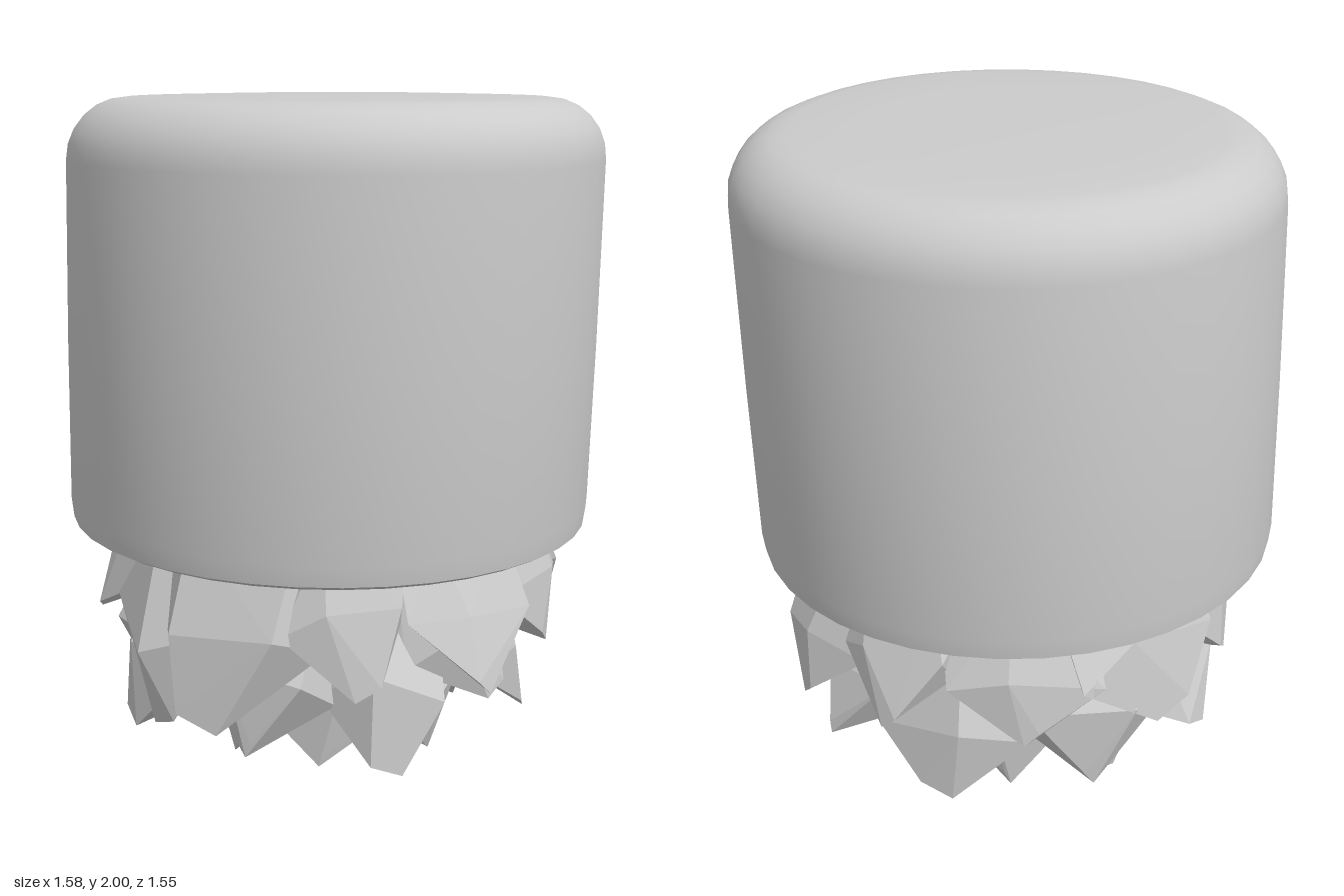
import * as THREE from 'three';
import { ConvexGeometry } from 'three/addons/geometries/ConvexGeometry.js';
import { toCreasedNormals } from 'three/addons/utils/BufferGeometryUtils.js';

// Small seeded generator for repeatable irregularity
function seeded(seed) {
  let s = seed;
  return () => {
    s = (s * 16807) % 2147483647;
    return s / 2147483647;
  };
}

// Drum with a rounded shoulder, leaning very slightly to one side
function drumGeometry() {
  const profile = [[0, 0.758], [0.745, 0.758], [0.77, 0.772], [0.777, 0.83], [0.777, 1.3], [0.772, 1.82]];
  for (let i = 1; i <= 6; i++) {
    const a = (i / 6) * Math.PI / 2;
    profile.push([0.602 + 0.17 * Math.cos(a), 1.82 + 0.172 * Math.sin(a)]);
  }
  profile.push([0.4, 1.997], [0, 2]);
  const geo = new THREE.LatheGeometry(profile.map(([r, y]) => new THREE.Vector2(r, y)), 40);
  const p = geo.attributes.position;
  for (let i = 0; i < p.count; i++) {
    const x = p.getX(i), y = p.getY(i);
    p.setX(i, x + 0.003 + 0.027 * (y - 1.38));
    p.setY(i, y - 0.014 * x * (2 - y) / 1.2);
  }
  return toCreasedNormals(geo, 0.6);
}

// Broad faceted shard: thick root, irregular waist, tip drawn out into a short chisel edge
function shardGeometry(root, tip, width, rand) {
  const axis = tip.clone().sub(root).normalize();
  const side = new THREE.Vector3(-axis.z, 0, axis.x).normalize();
  const up = new THREE.Vector3().crossVectors(axis, side);
  const chisel = tip.clone().addScaledVector(side, (rand() - 0.5) * width);
  chisel.y += 0.04;
  const points = [tip, chisel];
  const twist = rand() * Math.PI;
  const flatten = 0.5 + rand() * 0.25;
  for (const [t, scale] of [[0, 0.95], [0.55, 1]]) {
    for (let i = 0; i < 5; i++) {
      const a = twist + (i / 5) * Math.PI * 2 + (rand() - 0.5) * 0.6;
      const r = width * scale * (0.85 + rand() * 0.3);
      const v = root.clone().lerp(tip, t + (rand() - 0.5) * 0.2);
      v.addScaledVector(side, Math.cos(a) * r).addScaledVector(up, Math.sin(a) * r * flatten);
      v.y = Math.min(Math.max(v.y, tip.y + 0.05), 0.85);
      // Keep the shard tucked under the rim
      const limit = 0.74 - 0.42 * Math.max(0, v.y - 0.5);
      const pull = Math.min(1, limit / Math.hypot(v.x, v.z));
      points.push(new THREE.Vector3(v.x * pull, v.y, v.z * pull));
    }
  }
  return new ConvexGeometry(points);
}

export function createModel() {
  const model = new THREE.Group();
  model.name = 'drumOnShards';
  const smooth = new THREE.MeshStandardMaterial({ color: 0xcccccc });
  const faceted = new THREE.MeshStandardMaterial({ color: 0xcccccc, flatShading: true });

  const drum = new THREE.Mesh(drumGeometry(), smooth);
  drum.name = 'drum';
  model.add(drum);

  const shards = new THREE.Group();
  shards.name = 'shardCluster';
  model.add(shards);
  const rand = seeded(4217);

  // Tips of each ring; roots sit closer to the axis and higher up
  const rings = [
    {
      name: 'upperShard', rootScale: 0.72, rootY: 0.8, width: 0.24,
      tips: [
        [0.73, 0.41, 0.16], [0.52, 0.42, 0.48], [0.2, 0.3, 0.69], [-0.13, 0.22, 0.62], [-0.5, 0.46, 0.5],
        [-0.66, 0.42, 0.16], [-0.64, 0.4, -0.26], [-0.38, 0.42, -0.58], [0, 0.44, -0.73], [0.36, 0.36, -0.62],
        [0.62, 0.42, -0.26],
      ],
    },
    {
      name: 'middleShard', rootScale: 0.6, rootY: 0.6, width: 0.21,
      tips: [
        [0.62, 0.32, 0.02], [0.52, 0.14, 0.28], [0.2, 0.2, 0.58], [-0.24, 0.17, 0.6], [-0.55, 0.17, 0.28],
        [-0.69, 0.28, -0.04], [-0.5, 0.2, -0.38], [-0.15, 0.15, -0.6], [0.22, 0.3, -0.68], [0.5, 0.16, -0.32],
      ],
    },
    {
      name: 'lowerShard', rootScale: 0.65, rootY: 0.45, width: 0.2,
      tips: [
        [-0.4, 0, -0.05], [-0.12, 0.03, 0.31], [0.22, 0.08, 0.3], [0.37, 0.08, -0.02],
        [0.2, 0.1, -0.36], [-0.2, 0.05, -0.35], [-0.34, 0.13, 0.26], [0.02, 0.1, 0.01],
      ],
    },
  ];
  for (const { name, rootScale, rootY, width, tips } of rings) {
    for (const [x, y, z] of tips) {
      const root = new THREE.Vector3(x * rootScale, rootY, z * rootScale);
      const tip = new THREE.Vector3(x, y, z);
      const mesh = new THREE.Mesh(shardGeometry(root, tip, width * (0.85 + rand() * 0.3), rand), faceted);
      mesh.name = name;
      shards.add(mesh);
    }
  }

  // Solid core that the shards grow from
  const coreGeo = new THREE.IcosahedronGeometry(0.5, 1);
  coreGeo.scale(1, 0.75, 1);
  const core = new THREE.Mesh(coreGeo, faceted);
  core.name = 'shardCore';
  core.position.y = 0.57;
  shards.add(core);

  return model;
}
